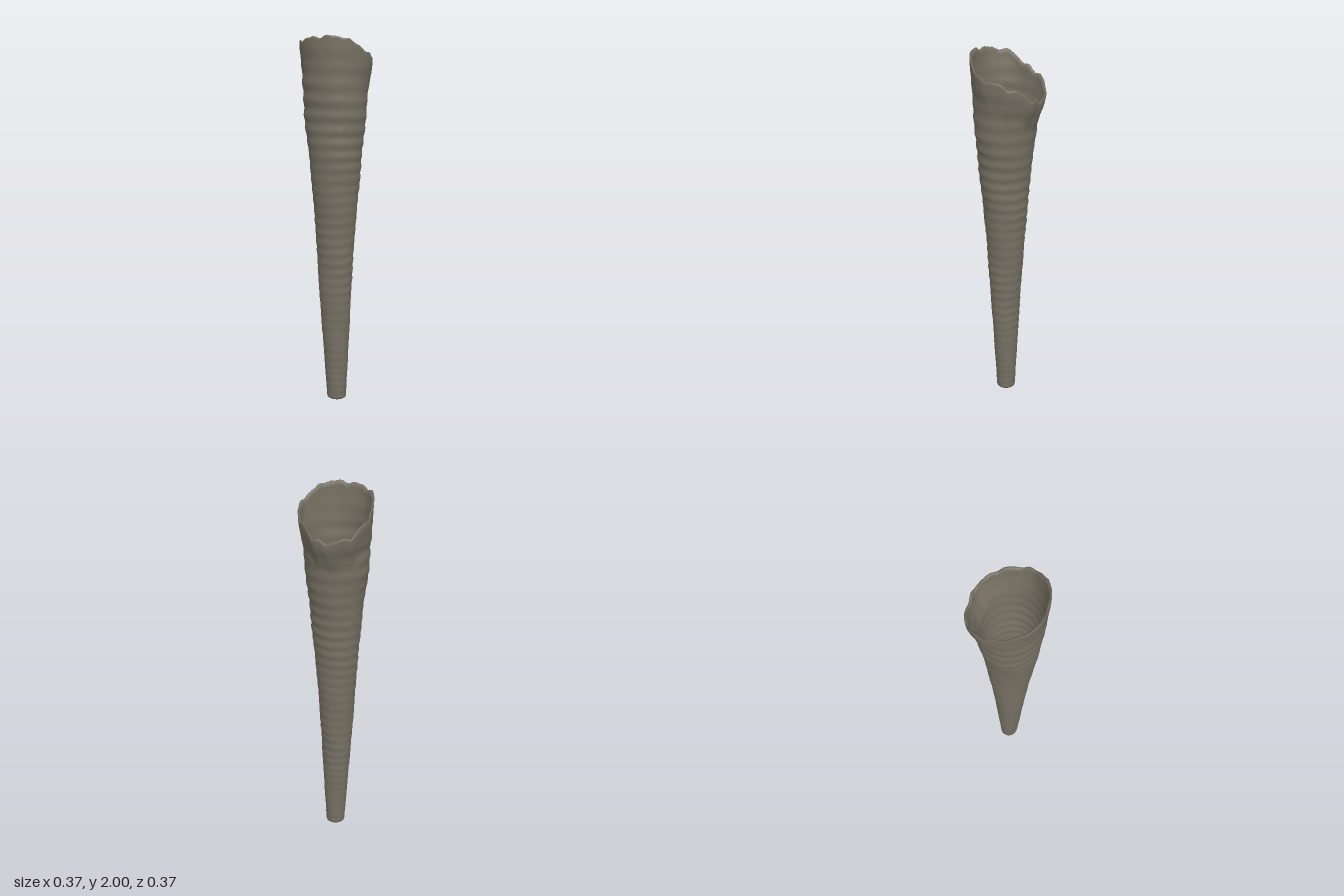
import * as THREE from 'three';

const SEG = 72, ROWS = 170, WALL = 0.012;

// Rows: height, centre x, centre z, radius x, radius z
const BODY = [
  [0, -0.005, 0.012, 0.054, 0.053],
  [0.6, -0.01, 0.018, 0.087, 0.08],
  [1.0, -0.01, 0.016, 0.108, 0.103],
  [1.4, -0.008, 0.02, 0.14, 0.133],
  [1.6, -0.01, 0.014, 0.162, 0.151],
  [1.8, -0.008, 0.01, 0.173, 0.165],
  [2.0, -0.005, 0, 0.178, 0.178],
];

// Rim: angle in degrees (0 = front, 90 = +x), height, radius
const RIM = [
  [0, 1.995, 0.18], [25, 1.995, 0.18], [48, 1.965, 0.179], [77, 1.91, 0.186],
  [103, 1.89, 0.175], [142, 1.85, 0.178], [165, 1.80, 0.19], [180, 1.785, 0.182],
  [211, 1.805, 0.192], [249, 1.87, 0.193], [270, 1.9, 0.185], [300, 1.965, 0.197],
  [330, 1.985, 0.193], [360, 1.995, 0.18],
];

// Smooth interpolation in a table keyed by its first column
function sample(table, key, ease) {
  let i = 0;
  while (i < table.length - 2 && key > table[i + 1][0]) i++;
  const a = table[i], b = table[i + 1];
  let t = THREE.MathUtils.clamp((key - a[0]) / (b[0] - a[0]), 0, 1);
  if (ease) t = t * t * (3 - 2 * t);
  return a.map((v, k) => v + (b[k] - v) * t);
}

// Growth rings, widening towards the mouth, a little uneven around the body
function ripple(y, a) {
  const phase = 150 * y - 20 * y * y + 1.3 * Math.sin(5 * y) + 0.5 * Math.sin(a + 3 * y);
  const ring = Math.sin(phase) * (0.7 + 0.3 * Math.sin(9 * y + a));
  return 0.018 * ring + 0.008 * Math.sin(3 * a + 7 * y) + 0.007 * Math.sin(23 * y + 2 * a);
}

function wallPoint(t, a, inset) {
  const [, rimY, rimR] = sample(RIM, THREE.MathUtils.radToDeg(a), true);
  const top = Math.min(2, rimY + 0.006 * Math.sin(11 * a) + 0.004 * Math.sin(19 * a + 1));
  const y = t * top;
  const [, cx, cz, rx, rz] = sample(BODY, y, false);
  const k = 1 + ripple(y, a);
  const flare = THREE.MathUtils.smoothstep(y, top - 0.16, top);
  const s = Math.sin(a), c = Math.cos(a);
  const x = THREE.MathUtils.lerp(cx + (rx * k - inset) * s, (rimR - inset) * s, flare);
  const z = THREE.MathUtils.lerp(cz + (rz * k - inset) * c, (rimR - inset) * c, flare);
  return [x, y, z];
}

// Outer wall going up, over the rim, inner wall going down, and the foot edge
function hornGeometry() {
  const pos = [], idx = [], total = 2 * (ROWS + 1);
  for (let r = 0; r < total; r++) {
    const inner = r > ROWS;
    const t = (inner ? total - 1 - r : r) / ROWS;
    const inset = inner ? WALL * (t === 1 ? 0.5 : 1) : 0;
    for (let j = 0; j < SEG; j++) pos.push(...wallPoint(t, (j / SEG) * Math.PI * 2, inset));
  }
  for (let r = 0; r < total; r++) {
    const r2 = (r + 1) % total;
    for (let j = 0; j < SEG; j++) {
      const j2 = (j + 1) % SEG;
      const a = r * SEG + j, b = r * SEG + j2, c = r2 * SEG + j2, d = r2 * SEG + j;
      idx.push(a, b, c, a, c, d);
    }
  }
  const g = new THREE.BufferGeometry();
  g.setAttribute('position', new THREE.Float32BufferAttribute(pos, 3));
  g.setIndex(idx);
  g.computeVertexNormals();
  return g;
}

export function createModel() {
  const group = new THREE.Group();
  group.name = 'ringedHorn';
  const horn = new THREE.MeshStandardMaterial({ color: 0x757062 });
  horn.name = 'grey brown horn';

  const shell = new THREE.Mesh(hornGeometry(), horn);
  shell.name = 'hornShell';
  group.add(shell);

  // Plug closing the narrow end
  const plug = new THREE.Mesh(new THREE.CylinderGeometry(0.048, 0.048, 0.02, 40), horn);
  plug.name = 'basePlug';
  plug.position.set(-0.005, 0.03, 0.012);
  group.add(plug);
  return group;
}
